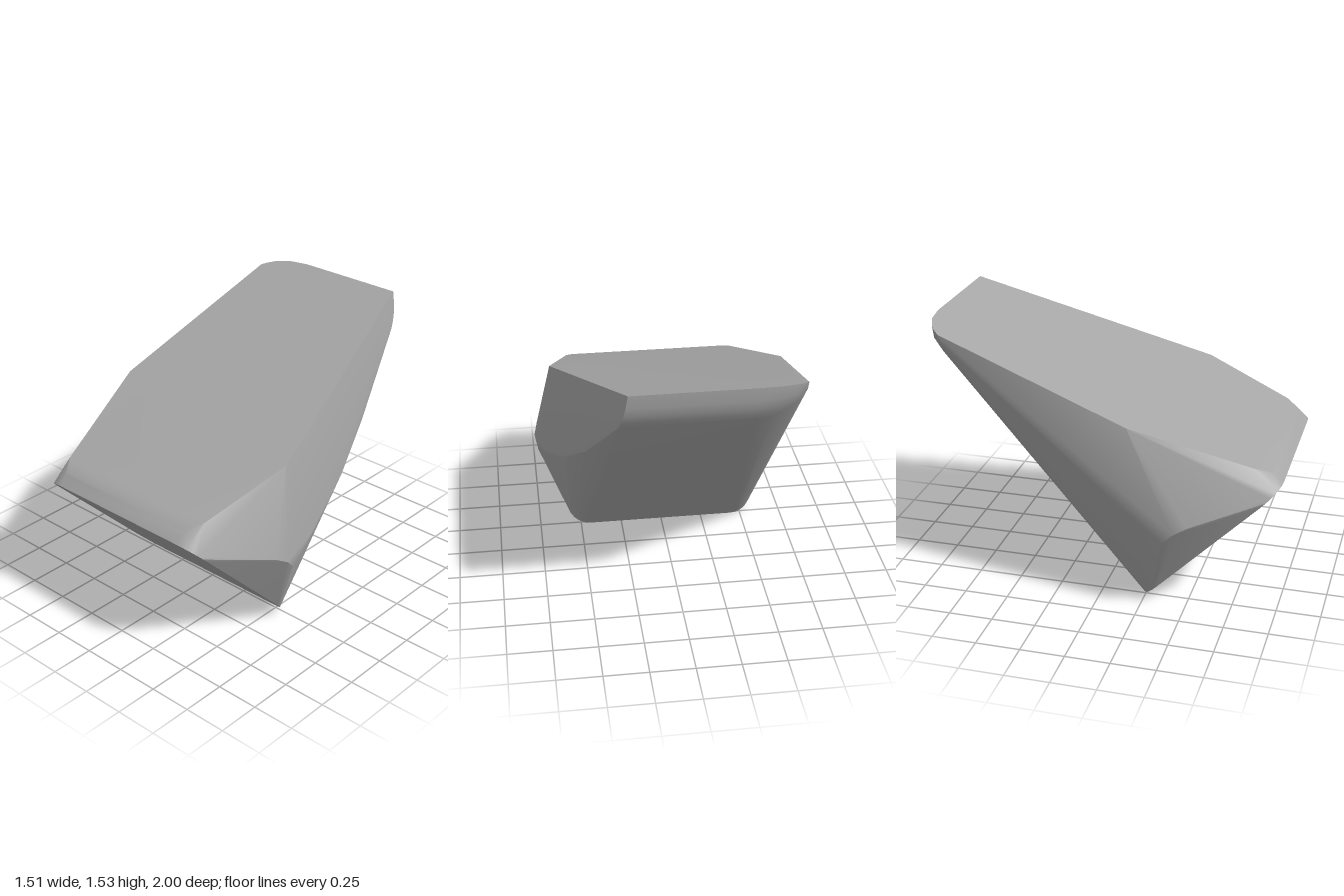
import * as THREE from 'three';
import { ConvexGeometry } from 'three/addons/geometries/ConvexGeometry.js';
import { toCreasedNormals } from 'three/addons/utils/BufferGeometryUtils.js';

const V = (x, y, z) => new THREE.Vector3(x, y, z);

// height of the sloping top plane at depth z
const topY = (z) => 1.535 - 0.3605 * (z + 1);

// slanted base: a rounded rectangle, facing down and forward
function basePoints() {
  const pts = [];
  const rx = 0.14, ry = 0.1, steps = 6;
  for (const sx of [-1, 1]) {
    for (const sy of [-1, 1]) {
      for (let i = 0; i <= steps; i++) {
        const a = (i / steps) * Math.PI / 2;
        const x = sx * (0.58 - rx + rx * Math.cos(a));
        const y = 0.385 + sy * (0.385 - ry + ry * Math.sin(a));
        pts.push(V(x, y, 0.235 + y * 0.765 / 0.77));
      }
    }
  }
  return pts;
}

// flat top, cut unevenly on the two sides
function topPoints() {
  return [
    [-0.62, -0.89], [-0.59, -0.92], [-0.55, -0.95], [-0.46, -0.985], [-0.34, -1],
    [0.32, -1], [0.65, 0.36], [0.52, 0.86], [0.48, 0.89],
    [-0.48, 0.89], [-0.52, 0.86], [-0.71, 0.19],
  ].map(([x, z]) => V(x, topY(z), z));
}

// widest corners and the curved lower flank, the same on both sides
function flankPoints() {
  const half = [
    [0.738, 0.57, 0.53], [0.756, 0.53, 0.46], [0.74, 0.465, 0.395],
    [0.705, 0.56, 0.2], [0.65, 0.63, 0], [0.6, 0.745, -0.2], [0.505, 0.945, -0.5],
    // bevel above the base's front edge
    [0.46, 0.825, 0.945],
  ];
  return half.flatMap(([x, y, z]) => [V(x, y, z), V(-x, y, z)]);
}

// rolled rear edge, ending in a rounded left corner
function rearPoints() {
  const pts = [];
  for (const [y, z, right] of [[1.46, -0.998, 0.333], [1.41, -0.987, 0.343], [1.365, -0.967, 0.354], [1.325, -0.94, 0.364]]) {
    pts.push(V(-0.34, y, z), V(right, y, z));
  }
  pts.push(
    V(-0.46, 1.46, -0.98), V(-0.46, 1.39, -0.95), V(-0.43, 1.33, -0.925),
    V(-0.55, 1.45, -0.94), V(-0.53, 1.37, -0.9),
    V(-0.618, 1.45, -0.875), V(-0.595, 1.39, -0.86),
  );
  return pts;
}

export function createModel() {
  const group = new THREE.Group();
  group.name = 'facetedStone';

  const stoneGrey = new THREE.MeshStandardMaterial({ color: 0xa6a6a6 });
  stoneGrey.name = 'stoneGrey';

  const hull = new ConvexGeometry([
    ...basePoints(), ...topPoints(), ...flankPoints(), ...rearPoints(),
  ]);
  const stone = new THREE.Mesh(toCreasedNormals(hull, 0.45), stoneGrey);
  stone.name = 'stoneBody';
  group.add(stone);
  return group;
}
